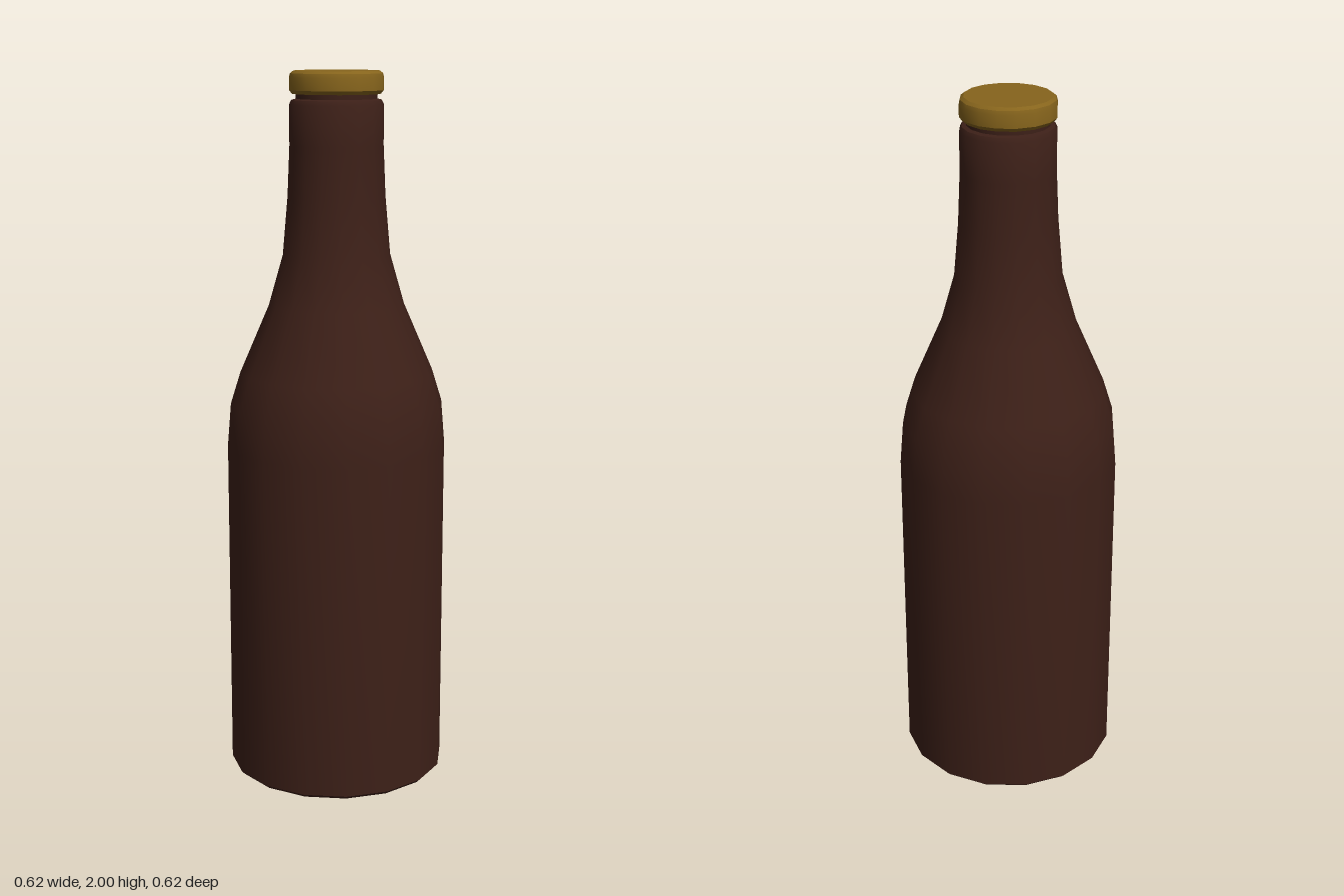
import * as THREE from 'three';
import { toCreasedNormals } from 'three/addons/utils/BufferGeometryUtils.js';

const SIDES = 16;

// Turned part from [radius, height] pairs, listed bottom to top
function turned(name, profile, color) {
  const points = profile.map(([r, y]) => new THREE.Vector2(r, y));
  const geometry = toCreasedNormals(new THREE.LatheGeometry(points, SIDES), 0.62);
  const mesh = new THREE.Mesh(geometry, new THREE.MeshStandardMaterial({ color }));
  mesh.name = name;
  return mesh;
}

export function createModel() {
  const group = new THREE.Group();
  group.name = 'bottle';

  // Glass: slightly recessed base, straight body, shoulder, neck and lip groove
  group.add(turned('glassBody', [
    [0, 0.012], [0.285, 0.012], [0.3, 0], [0.31, 0.01],
    [0.31, 0.96], [0.3, 1.08], [0.272, 1.17],
    [0.19, 1.36], [0.15, 1.5], [0.136, 1.66],
    [0.13, 1.8], [0.13, 1.91], [0.124, 1.922], [0.112, 1.925],
    [0.112, 1.95], [0, 1.95],
  ], 0x3d2018));

  // Cap with softened upper and lower rims
  group.add(turned('cap', [
    [0, 1.938], [0.122, 1.938], [0.13, 1.948],
    [0.13, 1.982], [0.127, 1.993], [0.118, 2], [0, 2],
  ], 0x86641c));

  return group;
}
